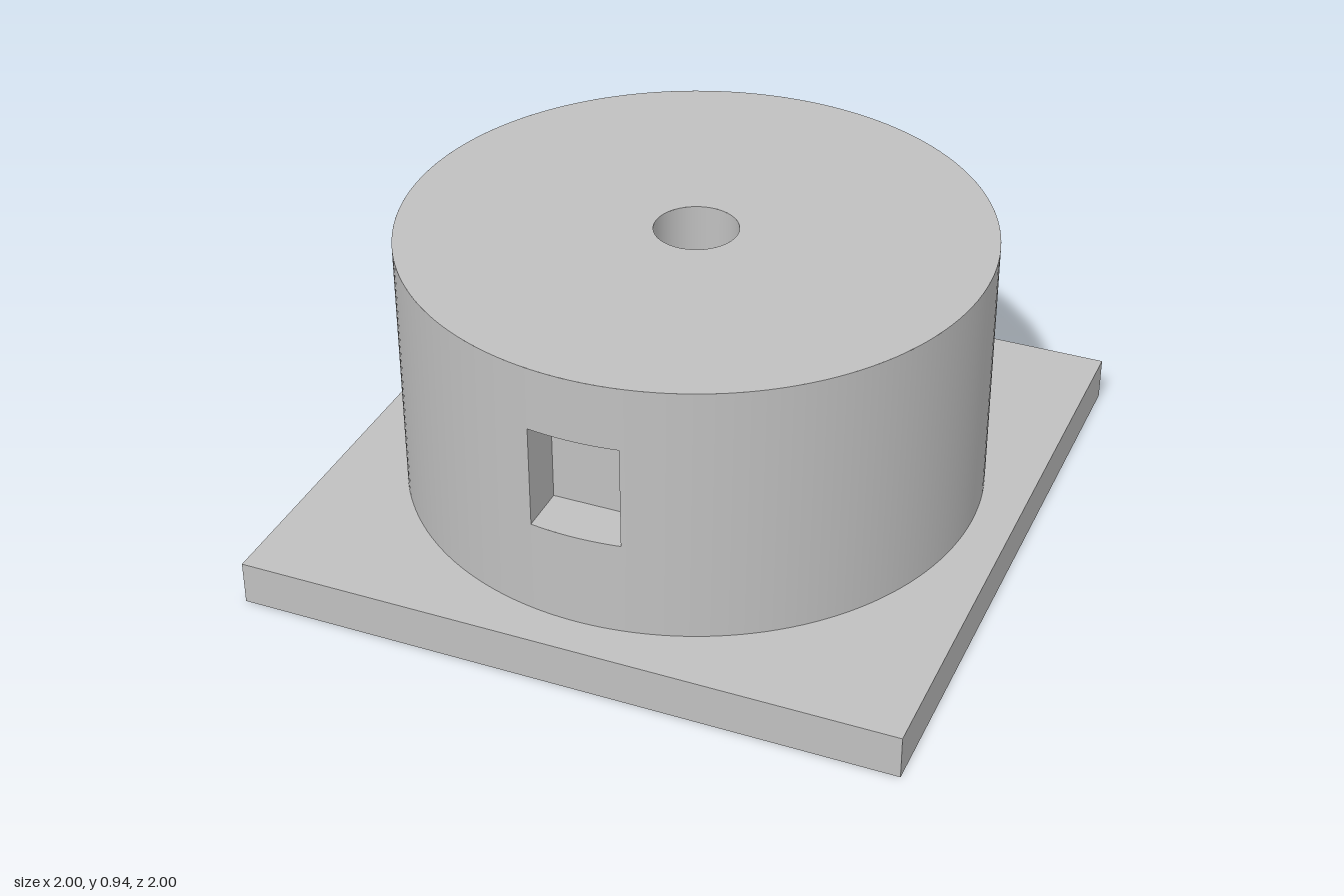
import * as THREE from 'three';

const R = 0.875, BASE = 0.133, TOP = 0.935;   // drum radius, bottom and top
const MID = 0.582;                            // height of the side openings
const WIN_W = 0.135, WIN_H = 0.158, WIN_Z = 0.717; // window half sizes and floor
const REC_R = 0.332, REC_Z = 0.703;           // round recess radius and floor
const PIN_R = 0.064, BORE_R = 0.125;          // small holes

const grey = new THREE.MeshStandardMaterial({ color: 0xc0c0c0, side: THREE.DoubleSide });
grey.name = 'light grey';

function add(parent, name, geometry, z = 0) {
  const mesh = new THREE.Mesh(geometry, grey);
  mesh.name = name;
  mesh.position.z = z;
  parent.add(mesh);
  return mesh;
}

// Ruled surface between two curves a(t) and b(t), t = 0..1
function ruled(n, a, b) {
  const pos = [], index = [];
  for (let i = 0; i <= n; i++) {
    pos.push(...a(i / n), ...b(i / n));
    if (i < n) {
      const k = i * 2;
      index.push(k, k + 2, k + 3, k, k + 3, k + 1);
    }
  }
  const g = new THREE.BufferGeometry();
  g.setAttribute('position', new THREE.Float32BufferAttribute(pos, 3));
  g.setIndex(index);
  g.computeVertexNormals();
  return g;
}

const drumZ = (x) => Math.sqrt(R * R - x * x);

// Strip of drum wall from angle t0 to t1, between two height rules
function wall(parent, t0, t1, low, high) {
  const n = Math.max(24, Math.ceil((t1 - t0) * 24));
  const at = (t, h) => {
    const q = t0 + (t1 - t0) * t;
    return [R * Math.sin(q), h(R * Math.sin(q)), R * Math.cos(q)];
  };
  add(parent, 'drumWall', ruled(n, (t) => at(t, low), (t) => at(t, high)));
}

// Inward-facing round hole along z, from front(x) back to a flat end
function bore(parent, name, r, front, back, y = 0) {
  const ring = (t, zOf) => {
    const x = r * Math.cos(t * Math.PI * 2);
    return [x, y + r * Math.sin(t * Math.PI * 2), zOf(x)];
  };
  add(parent, name, ruled(72, (t) => ring(t, front), (t) => ring(t, () => back)));
}

const base = () => BASE, top = () => TOP;

// Square window pocket facing +z with the wall above and below it
function windowPocket(name) {
  const g = new THREE.Group();
  g.name = name;
  const lo = MID - WIN_H, hi = MID + WIN_H, half = Math.asin(WIN_W / R);
  wall(g, -half, half, base, () => lo);
  wall(g, -half, half, () => hi, top);
  const x = (t) => WIN_W * (2 * t - 1);
  const front = (y) => (t) => [x(t), y, drumZ(x(t))];
  const back = (y) => (t) => [x(t), y, WIN_Z];
  add(g, 'windowSill', ruled(12, front(lo), back(lo)));
  add(g, 'windowHead', ruled(12, back(hi), front(hi)));
  const edge = drumZ(WIN_W);
  for (const s of [-1, 1]) {
    const z = (t) => (s < 0 ? edge + (WIN_Z - edge) * t : WIN_Z + (edge - WIN_Z) * t);
    add(g, 'windowSide', ruled(1, (t) => [s * WIN_W, lo, z(t)], (t) => [s * WIN_W, hi, z(t)]));
  }
  add(g, 'windowBack', new THREE.PlaneGeometry(2 * WIN_W, 2 * WIN_H), WIN_Z).position.y = MID;
  return g;
}

// Round recess facing +z with a pin hole in its floor
function roundRecess() {
  const g = new THREE.Group();
  g.name = 'roundRecess';
  const half = Math.asin(REC_R / R);
  const rise = (x) => Math.sqrt(Math.max(0, REC_R * REC_R - x * x));
  // Wall around the opening, with steps packed towards its ends
  const at = (t, h) => {
    const x = -REC_R * Math.cos(t * Math.PI);
    return [x, h(x), drumZ(x)];
  };
  const low = (x) => MID - rise(x), high = (x) => MID + rise(x);
  add(g, 'drumWall', ruled(36, (t) => at(t, base), (t) => at(t, low)));
  add(g, 'drumWall', ruled(36, (t) => at(t, high), (t) => at(t, top)));
  bore(g, 'recessWall', REC_R, drumZ, REC_Z, MID);
  add(g, 'recessFloor', new THREE.RingGeometry(PIN_R, REC_R, 72), REC_Z).position.y = MID;
  bore(g, 'pinHole', PIN_R, () => REC_Z, 0.4, MID);
  add(g, 'pinHoleEnd', new THREE.CircleGeometry(PIN_R, 72), 0.4).position.y = MID;
  g.rotation.y = -Math.PI / 2;
  return { group: g, half };
}

export function createModel() {
  const model = new THREE.Group();
  model.name = 'drumOnPlate';

  // Square base plate
  add(model, 'basePlate', new THREE.BoxGeometry(2, BASE, 2)).position.y = BASE / 2;

  // Drum wall with its three openings
  const drum = new THREE.Group();
  drum.name = 'drum';
  model.add(drum);
  const frontWindow = windowPocket('frontWindow');
  const backWindow = windowPocket('backWindow');
  backWindow.rotation.y = Math.PI;
  const recess = roundRecess();
  drum.add(frontWindow, backWindow, recess.group);
  const w = Math.asin(WIN_W / R), P = Math.PI;
  wall(drum, w, P - w, base, top);
  wall(drum, P + w, 1.5 * P - recess.half, base, top);
  wall(drum, 1.5 * P + recess.half, 2 * P - w, base, top);

  // Drum lid with the central bore, laid flat
  const lid = new THREE.Group();
  lid.name = 'lid';
  lid.rotation.x = -Math.PI / 2;
  add(lid, 'lidFace', new THREE.RingGeometry(BORE_R, R, 144), TOP);
  bore(lid, 'centralBore', BORE_R, top, BASE);
  drum.add(lid);

  return model;
}
